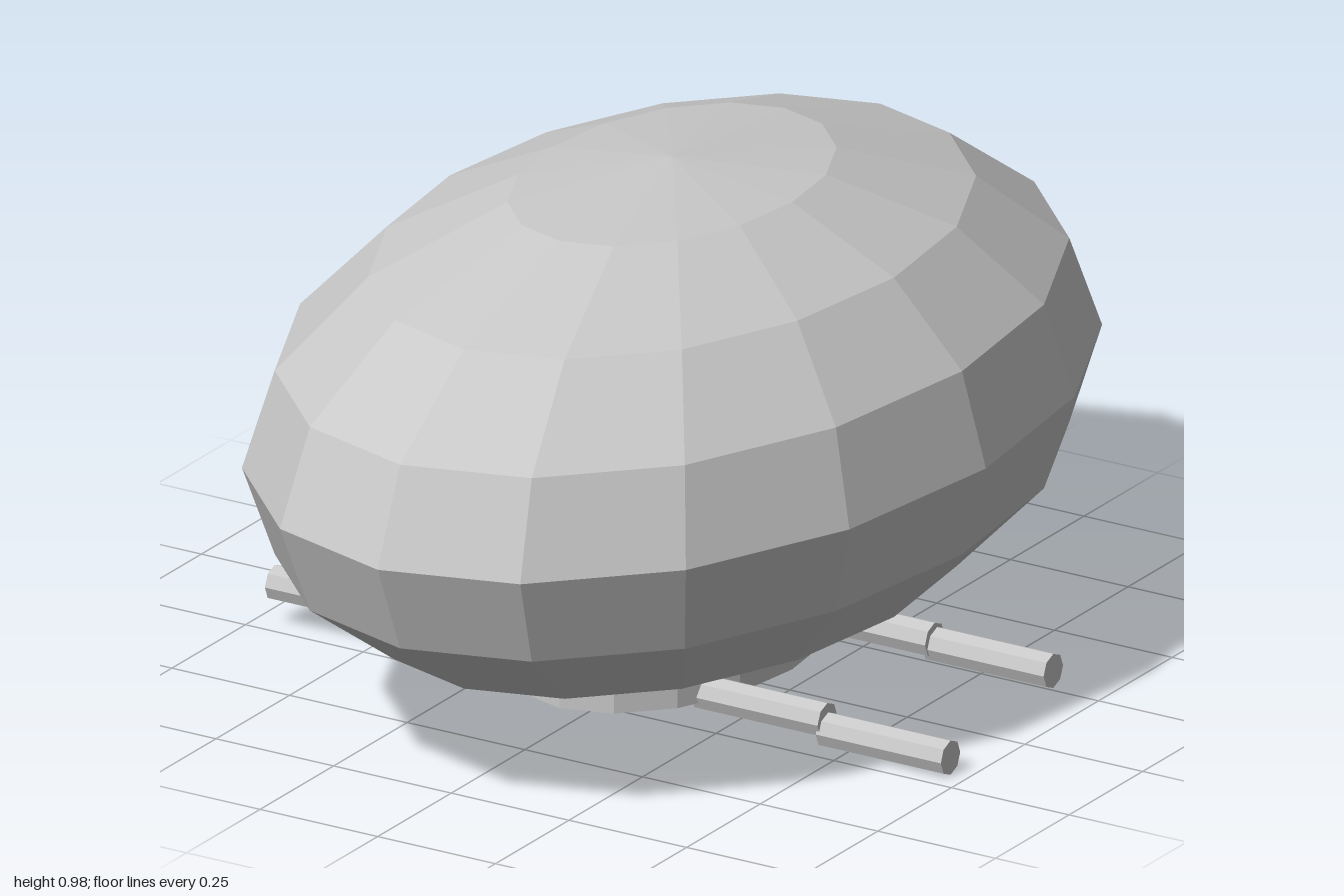
import * as THREE from 'three';

export function createModel() {
  const model = new THREE.Group();
  const lightGrey = new THREE.MeshStandardMaterial({ color: 0xc8c8c8, flatShading: true });
  lightGrey.name = 'lightGrey';

  const add = (name, geometry) => {
    const mesh = new THREE.Mesh(geometry, lightGrey);
    mesh.name = name;
    model.add(mesh);
    return mesh;
  };

  // Faceted ellipsoid rings, from the lowest ring up to the top pole
  const MID = 0.517, HEIGHT = 0.465, WIDTH = 0.667;
  const ring = (i) => {
    const a = (i * Math.PI) / 8;
    return new THREE.Vector2(i === 4 ? 0 : Math.cos(a), MID + HEIGHT * Math.sin(a));
  };
  const hullProfile = [];
  for (let i = -3; i <= 4; i++) hullProfile.push(ring(i));
  add('hull', new THREE.LatheGeometry(hullProfile, 16).scale(WIDTH, 1, 1));

  // Bottom cap, pushed down from the hull with a short vertical rim
  const rim = ring(-3);
  const capProfile = [
    new THREE.Vector2(0, 0.006),
    new THREE.Vector2(rim.x, 0.041),
    rim.clone(),
  ];
  add('bottomCap', new THREE.LatheGeometry(capProfile, 16).scale(WIDTH, 1, 1));

  // Horizontal octagonal rods: name, x start, x end, y, z
  const R = 0.033;
  const rods = [
    ['frontLeftInnerRod', 0.187, 0.455, 0.052, 0.2],
    ['frontLeftOuterRod', 0.449, 0.715, 0.033, 0.197],
    ['backLeftInnerRod', 0.187, 0.43, 0.066, -0.205],
    ['backLeftOuterRod', 0.42, 0.677, 0.055, -0.213],
    ['frontRightRod', -0.715, -0.2, 0.076, 0.207],
    ['backRightInnerRod', -0.46, -0.187, 0.068, -0.203],
    ['backRightOuterRod', -0.715, -0.45, 0.044, -0.198],
  ];
  for (const [name, x0, x1, y, z] of rods) {
    const rod = add(name, new THREE.CylinderGeometry(R, R, x1 - x0, 8).rotateZ(Math.PI / 2));
    rod.position.set((x0 + x1) / 2, y, z);
  }

  return model;
}
